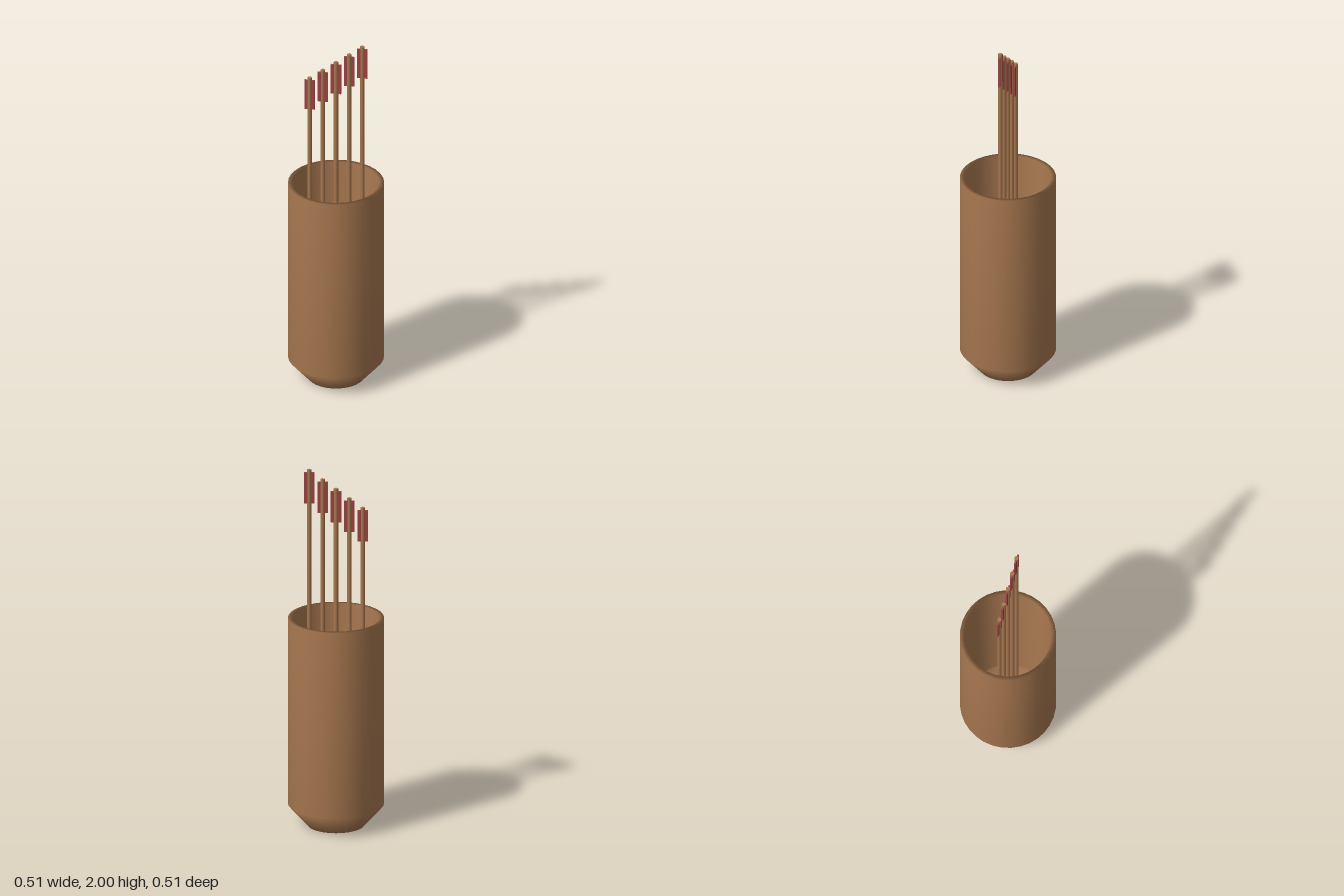
import * as THREE from 'three';

export function createModel() {
  const model = new THREE.Group();
  model.name = 'quiver';

  const brown = new THREE.MeshStandardMaterial({ color: 0xa87850, side: THREE.DoubleSide });
  brown.name = 'brown leather and wood';
  const red = new THREE.MeshStandardMaterial({ color: 0xa04444 });
  red.name = 'red feather';

  // Tapered case with a thick rim and an inner lining
  const profile = [
    [0, 0], [0.153, 0], [0.257, 0.118], [0.257, 1.165], [0.233, 1.165], [0.209, 0.14],
  ].map(([r, y]) => new THREE.Vector2(r, y));
  const body = new THREE.Mesh(new THREE.LatheGeometry(profile, 32), brown);
  body.name = 'quiverCase';
  model.add(body);

  // Row of arrows, each a little taller than the last
  const bottom = 0.12;
  for (let i = 0; i < 5; i++) {
    const top = 1.786 + i * 0.0535;
    const arrow = new THREE.Group();
    arrow.name = 'arrow' + (i + 1);
    arrow.position.x = (i - 2) * 0.0715;

    const shaft = new THREE.Mesh(new THREE.CylinderGeometry(0.0122, 0.0122, top - bottom, 8), brown);
    shaft.name = 'shaft';
    shaft.position.y = (top + bottom) / 2;

    const fletching = new THREE.Mesh(new THREE.BoxGeometry(0.056, 0.175, 0.0095), red);
    fletching.name = 'fletching';
    fletching.position.y = top - 0.103;

    arrow.add(shaft, fletching);
    model.add(arrow);
  }
  return model;
}
